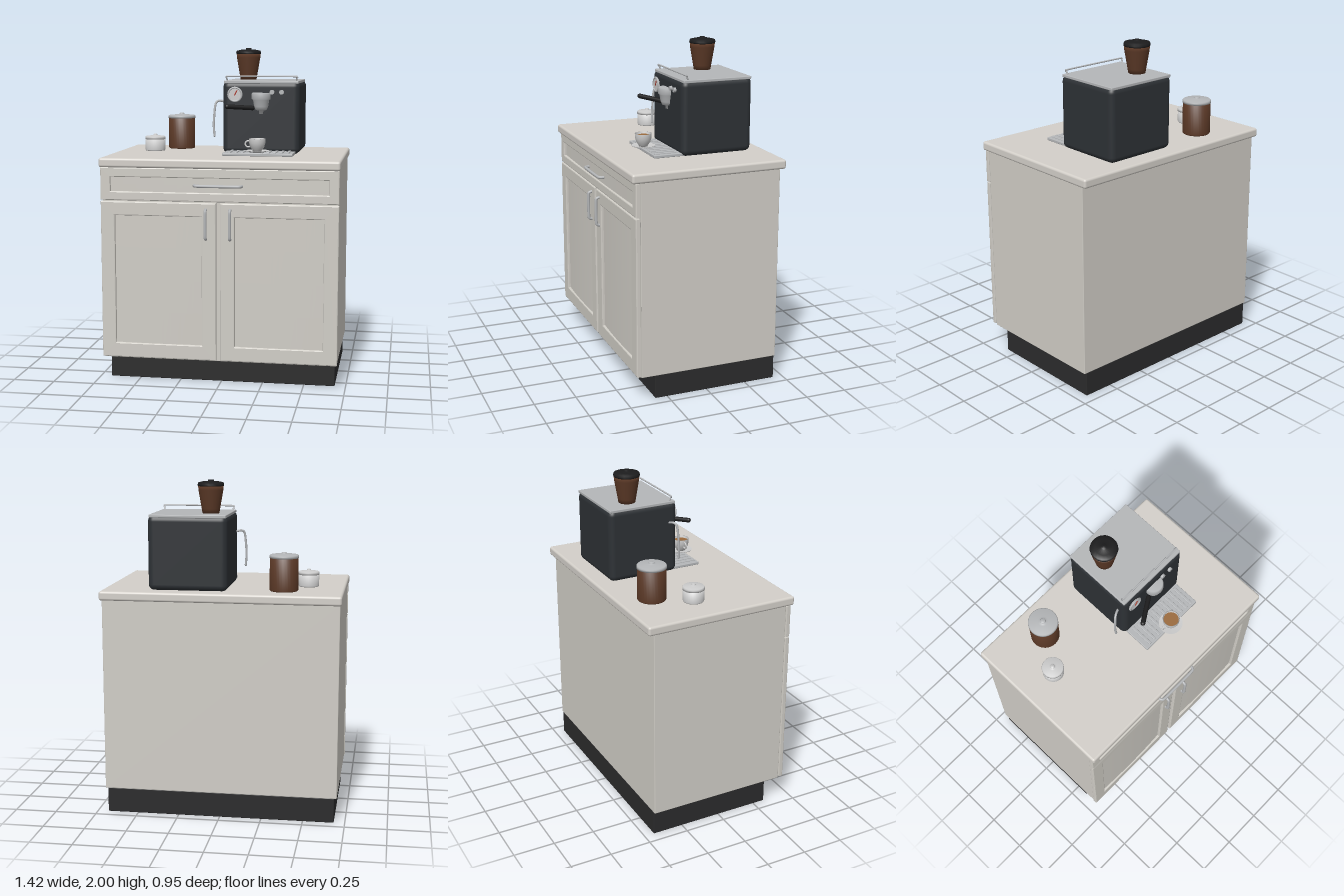
import * as THREE from 'three';
import { RoundedBoxGeometry } from 'three/addons/geometries/RoundedBoxGeometry.js';

const mat = (color) => new THREE.MeshStandardMaterial({ color });
const stone = mat(0xd3cfc9), paint = mat(0xd0cdc6), dark = mat(0x2b2b2c), shell = mat(0x2d3135);
const steel = mat(0xb4b6b8), white = mat(0xe2e2e0), brown = mat(0x5a3826), black = mat(0x1c1c1d);
const coffee = mat(0x9a6a3c), red = mat(0xb03020);
const V = (x, y, z) => new THREE.Vector3(x, y, z);

function add(parent, name, geometry, material, x = 0, y = 0, z = 0) {
  const mesh = new THREE.Mesh(geometry, material);
  mesh.name = name;
  mesh.position.set(x, y, z);
  parent.add(mesh);
  return mesh;
}

// Box given by its min and max corners, with softened edges
function block(parent, name, material, [x0, y0, z0], [x1, y1, z1], r = 0.004) {
  const geometry = new RoundedBoxGeometry(x1 - x0, y1 - y0, z1 - z0, 4, r);
  return add(parent, name, geometry, material, (x0 + x1) / 2, (y0 + y1) / 2, (z0 + z1) / 2);
}

// Turned part from [radius, height] pairs
function lathe(parent, name, material, profile, x, y, z, sides = 32) {
  const m = material.clone();
  m.side = THREE.DoubleSide;
  return add(parent, name, new THREE.LatheGeometry(profile.map(([r, h]) => new THREE.Vector2(r, h)), sides), m, x, y, z);
}

function tube(parent, name, material, points, r, tension = 0.15) {
  const curve = new THREE.CatmullRomCurve3(points, false, 'catmullrom', tension);
  const mesh = add(parent, name, new THREE.TubeGeometry(curve, 48, r, 10), material);
  for (const p of [points[0], points[points.length - 1]]) add(parent, name + 'End', new THREE.SphereGeometry(r, 10, 8), material, p.x, p.y, p.z);
  return mesh;
}

function rectangle(path, x0, y0, x1, y1) {
  path.moveTo(x0, y0);
  path.lineTo(x1, y0);
  path.lineTo(x1, y1);
  path.lineTo(x0, y1);
  path.closePath();
  return path;
}

// Bevelled frame around a sunken, faintly domed panel
function panelFront(parent, name, outer, inner) {
  const front = new THREE.Group();
  front.name = name;
  parent.add(front);
  const shape = rectangle(new THREE.Shape(), ...outer);
  shape.holes.push(rectangle(new THREE.Path(), ...inner));
  const b = 0.006;
  add(front, 'frame', new THREE.ExtrudeGeometry(shape, {
    depth: 0.03 - 2 * b, bevelEnabled: true, bevelSize: b, bevelThickness: b, bevelOffset: -b, bevelSegments: 2,
  }), paint, 0, 0, 0.415 + b);
  const w = inner[2] - inner[0] + 0.01, h = inner[3] - inner[1] + 0.01;
  const panel = new THREE.PlaneGeometry(w, h, 16, 4);
  const p = panel.attributes.position;
  for (let i = 0; i < p.count; i++) p.setZ(i, 0.008 * (1 - (2 * p.getX(i) / w) ** 2));
  panel.computeVertexNormals();
  add(front, 'panel', panel, paint, (inner[0] + inner[2]) / 2, (inner[1] + inner[3]) / 2, 0.428);
}

// Bow handle between two points on the cabinet front
function handle(parent, name, a, b) {
  const at = (t, z) => V(a[0] + (b[0] - a[0]) * t, a[1] + (b[1] - a[1]) * t, z);
  tube(parent, name, steel, [at(0, 0.44), at(0.02, 0.457), at(0.12, 0.466), at(0.88, 0.466), at(0.98, 0.457), at(1, 0.44)], 0.009, 0.4);
}

function buildCabinet() {
  const g = new THREE.Group();
  g.name = 'cabinet';
  block(g, 'plinth', dark, [-0.685, 0, -0.44], [0.685, 0.15, 0.325]);
  block(g, 'carcass', paint, [-0.7, 0.148, -0.44], [0.7, 1.31, 0.415]);
  block(g, 'countertop', stone, [-0.71, 1.305, -0.475], [0.71, 1.36, 0.465], 0.014);
  panelFront(g, 'drawer', [-0.705, 1.11, 0.705, 1.305], [-0.645, 1.163, 0.645, 1.248]);
  handle(g, 'drawerHandle', [-0.14, 1.205], [0.14, 1.205]);
  panelFront(g, 'rightDoor', [-0.705, 0.158, -0.012, 1.103], [-0.62, 0.247, -0.098, 1.02]);
  panelFront(g, 'leftDoor', [0.012, 0.158, 0.705, 1.103], [0.098, 0.247, 0.62, 1.02]);
  for (const s of [-1, 1]) handle(g, s < 0 ? 'rightDoorHandle' : 'leftDoorHandle', [s * 0.072, 0.89], [s * 0.072, 1.065]);
  return g;
}

function buildMachine() {
  const g = new THREE.Group();
  g.name = 'espressoMachine';
  block(g, 'body', shell, [-0.037, 1.358, -0.385], [0.433, 1.798, 0.056], 0.035);
  block(g, 'topPlate', steel, [-0.03, 1.785, -0.38], [0.425, 1.803, 0.046], 0.004);
  tube(g, 'cupRail', steel, [V(-0.015, 1.8, 0.012), V(-0.017, 1.822, 0.022), V(-0.005, 1.829, 0.026),
    V(0.4, 1.829, 0.026), V(0.412, 1.822, 0.022), V(0.41, 1.8, 0.012)], 0.005, 0.3);

  // Bean hopper
  lathe(g, 'hopper', brown, [[0, 0], [0.05, 0], [0.055, 0.03], [0.074, 0.14], [0.076, 0.165], [0, 0.165]], 0.083, 1.8, -0.217, 20);
  lathe(g, 'hopperLid', black, [[0, 0], [0.077, 0], [0.079, 0.008], [0.075, 0.02], [0.05, 0.026], [0.018, 0.028], [0.017, 0.036], [0, 0.038]], 0.083, 1.962, -0.217, 20);

  // Drip tray with ribs
  block(g, 'dripTray', steel, [-0.013, 1.36, 0.03], [0.41, 1.378, 0.22], 0.004);
  for (let i = 0; i < 10; i++) block(g, 'trayRib', steel, [0.018 + i * 0.039, 1.374, 0.065], [0.036 + i * 0.039, 1.384, 0.208], 0.004);

  // Group head, filter and handle
  lathe(g, 'groupHead', steel, [[0, 0], [0.013, 0], [0.014, 0.02], [0.034, 0.024], [0.043, 0.045], [0.05, 0.085],
    [0.058, 0.09], [0.058, 0.122], [0.052, 0.128], [0, 0.128]], 0.2, 1.603, 0.053);
  const from = V(0.16, 1.638, 0.06), to = V(-0.004, 1.652, 0.165);
  const grip = add(g, 'filterHandle', new THREE.CapsuleGeometry(0.014, from.distanceTo(to) - 0.028, 6, 16), black);
  grip.position.copy(from).lerp(to, 0.5);
  grip.quaternion.setFromUnitVectors(V(0, 1, 0), to.clone().sub(from).normalize());

  // Pressure gauge and knobs
  const dial = (name, material, r, x, y, z0, z1) => {
    add(g, name, new THREE.CylinderGeometry(r, r, z1 - z0, 32), material, x, y, (z0 + z1) / 2).rotation.x = Math.PI / 2;
  };
  dial('gaugeFace', white, 0.04, 0.04, 1.72, 0.05, 0.066);
  add(g, 'gaugeRim', new THREE.TorusGeometry(0.041, 0.006, 10, 32), steel, 0.04, 1.72, 0.064);
  block(g, 'gaugeNeedle', red, [-0.003, -0.006, 0], [0.003, 0.03, 0.004], 0.001).position.set(0.046, 1.73, 0.068);
  g.getObjectByName('gaugeNeedle').rotation.z = -0.5;
  for (const x of [0.267, 0.325]) dial('knob', steel, 0.014, x, 1.735, 0.05, 0.07);

  // Steam wand
  tube(g, 'steamWand', steel, [V(-0.025, 1.672, 0), V(-0.06, 1.68, 0.014), V(-0.08, 1.672, 0.026), V(-0.088, 1.64, 0.032), V(-0.095, 1.54, 0.037), V(-0.09, 1.465, 0.04)], 0.007, 0.4);
  return g;
}

function buildCup() {
  const g = new THREE.Group();
  g.name = 'cupAndSaucer';
  g.position.set(0.198, 1.383, 0.208);
  lathe(g, 'saucer', white, [[0, 0], [0.035, 0], [0.069, 0.009], [0.07, 0.012], [0.036, 0.006], [0, 0.006]], 0, 0, 0);
  lathe(g, 'cup', white, [[0, 0.006], [0.026, 0.006], [0.028, 0.014], [0.041, 0.03], [0.048, 0.055], [0.05, 0.082],
    [0.046, 0.082], [0.043, 0.055], [0.03, 0.022], [0, 0.018]], 0, 0, 0);
  add(g, 'coffee', new THREE.CircleGeometry(0.045, 32), coffee, 0, 0.07, 0).rotation.x = -Math.PI / 2;
  add(g, 'cupHandle', new THREE.TorusGeometry(0.018, 0.005, 8, 24), white, -0.054, 0.05, 0);
  return g;
}

// Lidded jar: body of radius r and height h, with a domed lid and knob
function buildCanister(name, material, lidMaterial, r, h, x, z) {
  const g = new THREE.Group();
  g.name = name;
  g.position.set(x, 1.36, z);
  lathe(g, 'jar', material, [[0, 0], [r * 0.92, 0], [r * 0.97, 0.006], [r * 0.97, h], [0, h]], 0, 0, 0);
  lathe(g, 'lid', lidMaterial, [[0, h], [r, h], [r, h + 0.012], [r * 0.94, h + 0.018], [r * 0.35, h + 0.023], [r * 0.18, h + 0.024],
    [r * 0.2, h + 0.028], [r * 0.15, h + 0.033], [0, h + 0.034]], 0, 0, 0);
  return g;
}

export function createModel() {
  const model = new THREE.Group();
  model.name = 'coffeeStation';
  model.add(
    buildCabinet(), buildMachine(), buildCup(),
    buildCanister('largeCanister', brown, steel, 0.087, 0.194, -0.36, -0.28),
    buildCanister('smallCanister', white, white, 0.064, 0.072, -0.49, -0.08),
  );
  return model;
}
